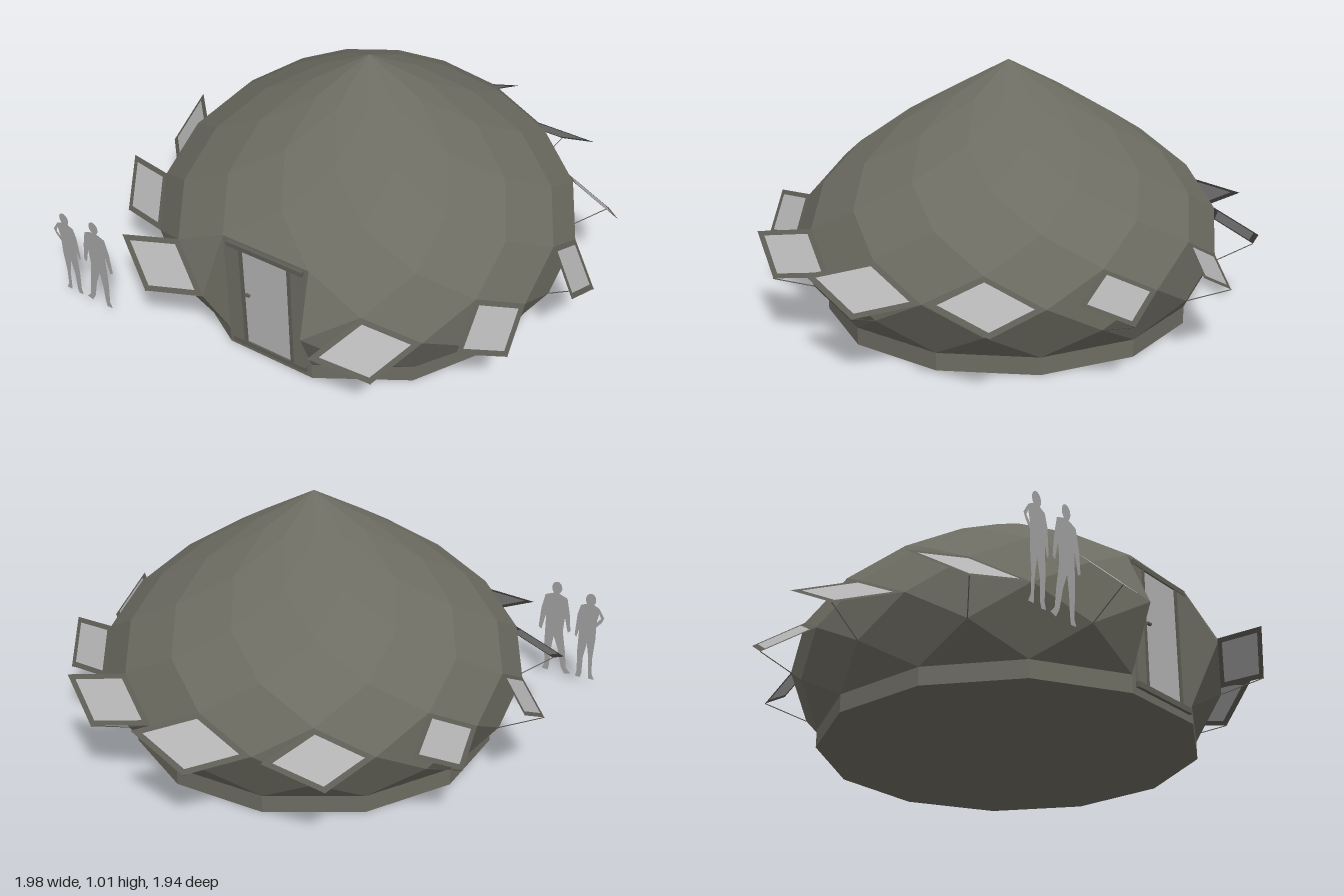
import * as THREE from 'three';

const mat = (name, color, side = THREE.FrontSide) => {
  const m = new THREE.MeshStandardMaterial({ color, side });
  m.name = name;
  return m;
};

const N = 12, R = 0.854, TOP = 1.01, STEP = 0.1175, ZC = 0.025;

// vertex of the polar zonohedron: ring j from the apex, k in steps of 15 degrees from the front
function v(j, k) {
  const r = R * Math.sin((Math.PI * j) / N), a = (k * Math.PI) / N;
  return new THREE.Vector3(r * Math.sin(a), TOP - j * STEP, r * Math.cos(a) + ZC);
}

// flat-faced geometry from triangles or quads
function faces(list, outward = false) {
  const pos = [], centre = new THREE.Vector3(0, 0.3, ZC);
  for (const f of list) {
    for (let i = 1; i < f.length - 1; i++) {
      let [a, b, c] = [f[0], f[i], f[i + 1]];
      const n = b.clone().sub(a).cross(c.clone().sub(a));
      if (outward && n.dot(a.clone().sub(centre)) < 0) [b, c] = [c, b];
      for (const p of [a, b, c]) pos.push(p.x, p.y, p.z);
    }
  }
  const g = new THREE.BufferGeometry();
  g.setAttribute('position', new THREE.Float32BufferAttribute(pos, 3));
  g.computeVertexNormals();
  return g;
}

export function createModel() {
  const shell = mat('shell', 0x6d6c62);
  const shellOpen = mat('shellTwoSided', 0x6d6c62, THREE.DoubleSide);
  const frame = mat('frame', 0x5e5d55, THREE.DoubleSide);
  const glass = mat('glass', 0xb2b2b2, THREE.DoubleSide);
  const figure = mat('figure', 0xa2a2a2, THREE.DoubleSide);

  const root = new THREE.Group();
  const add = (parent, name, geo, material, x = 0, y = 0, z = 0) => {
    const m = new THREE.Mesh(geo, material);
    m.name = name;
    m.position.set(x, y, z);
    parent.add(m);
    return m;
  };

  // dome of rhombic panels, with the front cut away for the entrance
  const panels = [];
  for (let j = 1; j <= 8; j++) {
    for (let i = 0; i < N; i++) {
      let k = 2 * i + (j % 2);
      if (k > N) k -= 2 * N;
      const top = v(j - 1, k), l = v(j, k - 1), r = v(j, k + 1), low = v(j + 1, k);
      if (k === 0 && (j === 6 || j === 8)) continue;
      if (j === 8 || (j === 4 && k === 0)) panels.push([top, l, r]);
      else if ((j === 5 || j === 7) && Math.abs(k) === 1) panels.push([top, k > 0 ? r : l, low]);
      else panels.push([top, l, low, r]);
    }
  }
  add(root, 'dome', faces(panels, true), shell);

  // plinth
  const baseY = v(8, 0).y;
  const plinth = new THREE.CylinderGeometry(0.74, 0.74, baseY, N).toNonIndexed();
  plinth.computeVertexNormals();
  add(root, 'plinth', plinth, shell, 0, baseY / 2, ZC).rotation.y = Math.PI / N;

  // entrance: recessed wall, side cheeks, door and frame
  const entrance = new THREE.Group();
  entrance.name = 'entrance';
  root.add(entrance);
  add(entrance, 'entranceWall', faces([[v(4, -1), v(8, -1), v(8, 1), v(4, 1)]]), shellOpen);
  for (const s of [-1, 1]) {
    add(entrance, 'entranceCheek', faces([[v(4, s), v(6, s), v(8, s)]]), shellOpen);
    add(entrance, 'doorPost', new THREE.BoxGeometry(0.055, 0.49, 0.012), shell, s * 0.142, 0.28, 0.744);
    add(entrance, 'doorStile', new THREE.BoxGeometry(0.014, 0.49, 0.016), frame, s * 0.108, 0.28, 0.744);
  }
  add(entrance, 'doorHead', new THREE.BoxGeometry(0.34, 0.02, 0.018), frame, 0, 0.52, 0.744);
  add(entrance, 'threshold', new THREE.BoxGeometry(0.34, 0.022, 0.018), frame, 0, 0.04, 0.744);
  add(entrance, 'doorGlass', new THREE.BoxGeometry(0.202, 0.46, 0.008), glass, 0, 0.28, 0.742);
  add(entrance, 'doorHandle', new THREE.BoxGeometry(0.022, 0.008, 0.014), frame, -0.086, 0.3, 0.75);

  // rhombic windows, hinged open on one upper edge, each with a stay
  for (let k = 2; k < 2 * N; k += 2) {
    const win = new THREE.Group();
    win.name = 'window';
    root.add(win);
    const a = v(5, k), b = v(6, k + 1), low = v(7, k);
    const swing = v(6, k - 1).sub(a).applyAxisAngle(b.clone().sub(a).normalize(), -0.925);
    const outer = [a, b, b.clone().add(swing), a.clone().add(swing)];
    const mid = outer[0].clone().add(outer[2]).multiplyScalar(0.5);
    const inner = outer.map((p) => p.clone().lerp(mid, 0.2));
    const rim = outer.map((p, i) => [p, outer[(i + 1) % 4], inner[(i + 1) % 4], inner[i]]);
    add(win, 'windowFrame', faces(rim), frame);
    add(win, 'windowGlass', faces([inner]), glass);
    const stay = new THREE.LineCurve3(low, outer[2]);
    add(win, 'windowStay', new THREE.TubeGeometry(stay, 1, 0.002, 5), frame);
  }

  // flat scale figures standing beside the entrance
  const person = (name, x, headX, headY, outline, gap) => {
    const g = new THREE.Group();
    g.name = name;
    g.position.set(x, 0.03, 0.87);
    root.add(g);
    const body = new THREE.Shape(outline.map((p) => new THREE.Vector2(...p)));
    if (gap) body.holes.push(new THREE.Path(gap.map((p) => new THREE.Vector2(...p))));
    add(g, 'body', new THREE.ShapeGeometry(body), figure);
    const head = add(g, 'head', new THREE.CircleGeometry(0.023, 16), figure, headX, headY, 0);
    head.scale.y = 1.25;
  };
  person('figureWithHandOnHip', -0.88, 0, 0.378, [
    [-0.01, 0.36], [-0.04, 0.345], [-0.066, 0.305], [-0.055, 0.28], [-0.034, 0.255], [-0.036, 0.2],
    [-0.03, 0.1], [-0.034, 0.03], [-0.047, 0.004], [-0.02, 0.004], [-0.013, 0.1], [0, 0.17],
    [0.012, 0.1], [0.012, 0.02], [0.018, 0], [0.04, 0.004], [0.034, 0.03], [0.04, 0.12],
    [0.04, 0.23], [0.05, 0.19], [0.058, 0.2], [0.053, 0.3], [0.042, 0.345], [0.01, 0.36],
  ], [[-0.042, 0.322], [-0.034, 0.278], [-0.052, 0.3]]);
  person('figureStriding', -0.73, 0.004, 0.4, [
    [-0.008, 0.375], [-0.046, 0.36], [-0.062, 0.29], [-0.072, 0.21], [-0.06, 0.2], [-0.042, 0.27],
    [-0.038, 0.2], [-0.055, 0.11], [-0.066, 0.03], [-0.088, 0.008], [-0.06, 0], [-0.042, 0.03],
    [-0.022, 0.11], [0.002, 0.17], [0.01, 0.1], [0.012, 0.03], [0.016, 0], [0.044, 0.002],
    [0.034, 0.03], [0.042, 0.12], [0.044, 0.27], [0.06, 0.19], [0.074, 0.2], [0.068, 0.29],
    [0.054, 0.36], [0.016, 0.375],
  ]);

  return root;
}
